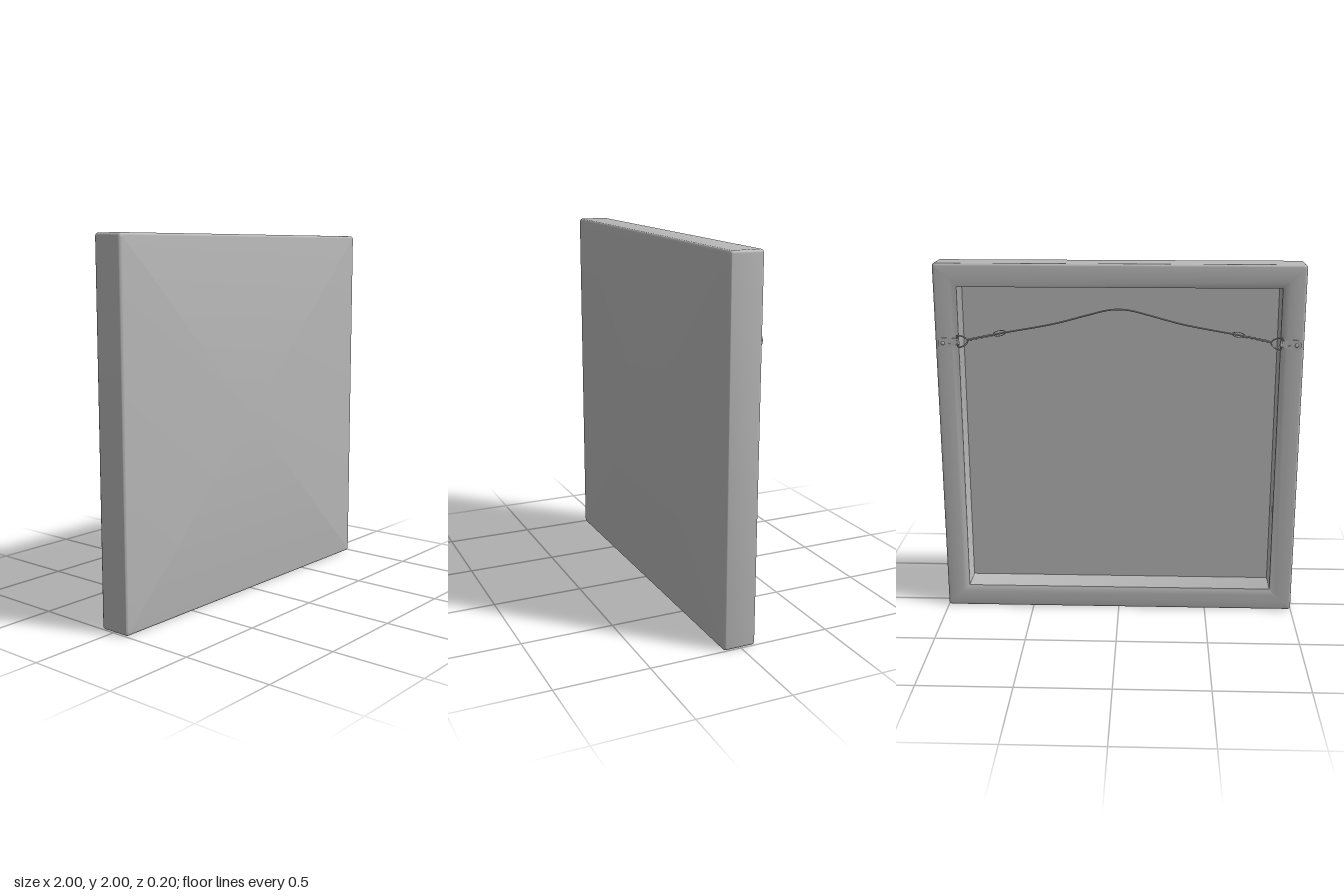
import * as THREE from 'three';
import { toCreasedNormals } from 'three/addons/utils/BufferGeometryUtils.js';

const grey = new THREE.MeshStandardMaterial({ color: 0xb8b8b8 });
grey.name = 'grey';

function add(parent, name, geometry) {
  const mesh = new THREE.Mesh(geometry, grey);
  mesh.name = name;
  parent.add(mesh);
  return mesh;
}

// Loft of rounded squares; each step is [half size, corner radius, z]
function squareLoft(steps) {
  const perCorner = 6, n = perCorner * 4, pos = [], index = [];
  for (const [h, r, z] of steps) {
    for (let c = 0; c < 4; c++) {
      for (let k = 0; k < perCorner; k++) {
        const a = (c + k / (perCorner - 1)) * Math.PI / 2;
        const m = (c + 0.5) * Math.PI / 2;
        pos.push(Math.sign(Math.cos(m)) * (h - r) + Math.cos(a) * r,
          1 + Math.sign(Math.sin(m)) * (h - r) + Math.sin(a) * r, z);
      }
    }
  }
  for (let s = 0; s < steps.length - 1; s++) {
    for (let i = 0; i < n; i++) {
      const a = s * n + i, b = s * n + (i + 1) % n;
      index.push(a, a + n, b, b, a + n, b + n);
    }
  }
  const g = new THREE.BufferGeometry();
  g.setAttribute('position', new THREE.Float32BufferAttribute(pos, 3));
  g.setIndex(index);
  return toCreasedNormals(g, 0.6);
}

function tube(points, radius, segments, closed = false) {
  const curve = new THREE.CatmullRomCurve3(points.map(p => new THREE.Vector3(...p)), closed);
  return new THREE.TubeGeometry(curve, segments, radius, 8, closed);
}

export function createModel() {
  const group = new THREE.Group();

  // Stretched canvas: front face, soft edges, back rails and recess
  const front = 0.097, back = -0.084, r = 0.014;
  const steps = [[0, 0, front]];
  for (let i = 0; i <= 4; i++) {
    const a = i / 4 * Math.PI / 2;
    steps.push([1 - r + r * Math.sin(a), 0.016, front - r + r * Math.cos(a)]);
  }
  for (let i = 0; i <= 4; i++) {
    const a = i / 4 * Math.PI / 2;
    steps.push([1 - r + r * Math.cos(a), 0.016, back + 0.003 + r - r * Math.sin(a)]);
  }
  steps.push([0.95, 0.008, back], [0.91, 0.004, back], [0.88, 0.002, back + 0.004],
    [0.873, 0.001, back + 0.008], [0.873, 0.001, 0.083], [0, 0, 0.083]);
  add(group, 'canvas', squareLoft(steps));

  // Hanger fittings, one on each side
  for (const side of [1, -1]) {
    const half = new THREE.Group();
    half.name = side > 0 ? 'leftHanger' : 'rightHanger';
    half.scale.x = side;
    group.add(half);

    const fitting = new THREE.Group();
    fitting.name = 'fitting';
    fitting.position.set(0.925, 1.572, back);
    fitting.rotation.z = -0.12;
    half.add(fitting);

    // Strap plate with two holes
    const shape = new THREE.Shape();
    shape.absarc(0.03, 0, 0.03, -Math.PI / 2, Math.PI / 2, false);
    shape.lineTo(-0.03, 0.02);
    shape.lineTo(-0.055, 0.016);
    shape.lineTo(-0.055, -0.016);
    shape.lineTo(-0.03, -0.02);
    shape.closePath();
    for (const x of [0.034, -0.006]) {
      const hole = new THREE.Path();
      hole.absarc(x, 0, 0.008, 0, Math.PI * 2, true);
      shape.holes.push(hole);
    }
    const plate = new THREE.ExtrudeGeometry(shape, { depth: 0.005, bevelEnabled: false, curveSegments: 12 });
    add(fitting, 'strapPlate', plate.translate(0, 0, -0.005));

    // Screw head
    const screw = add(fitting, 'screw', new THREE.SphereGeometry(0.011, 14, 8));
    screw.position.set(0.034, 0, -0.004);
    screw.scale.z = 0.7;

    // Folded sleeve and D-shaped ring
    const sleeve = add(fitting, 'sleeve', new THREE.CapsuleGeometry(0.006, 0.024, 4, 10));
    sleeve.position.set(-0.052, 0, -0.006);
    add(fitting, 'ring', tube([[-0.05, 0.03, -0.007], [-0.05, 0, -0.007], [-0.05, -0.03, -0.007],
      [-0.075, -0.028, -0.008], [-0.1, -0.012, -0.009], [-0.106, 0, -0.009],
      [-0.1, 0.012, -0.009], [-0.075, 0.028, -0.008]], 0.0042, 48, true));

    // Wire end wound back around the main wire
    const wound = [];
    for (let i = 0; i <= 40; i++) {
      const t = i / 40, a = t * Math.PI * 10;
      wound.push([0.815 - 0.14 * t, 1.589 + 0.03 * t + 0.006 * Math.cos(a), -0.0935 + 0.003 * Math.sin(a)]);
    }
    add(half, 'woundWire', tube(wound, 0.003, 120));

    // Small knot loop
    const knot = add(half, 'knot', new THREE.TorusGeometry(0.016, 0.002, 6, 24));
    knot.position.set(0.645, 1.626, -0.0945);
    knot.rotation.z = -0.2;
    knot.scale.set(2.1, 0.9, 1);
  }

  // Hanging wire rising to a soft peak
  const rise = [[0.825, 1.588], [0.645, 1.625], [0.35, 1.68], [0.15, 1.733], [0.06, 1.755]];
  const path = [...rise.map(([x, y]) => [x, y, -0.0945]), [0, 1.76, -0.0945],
    ...rise.slice().reverse().map(([x, y]) => [-x, y, -0.0945])];
  add(group, 'hangingWire', tube(path, 0.0045, 120));

  return group;
}
